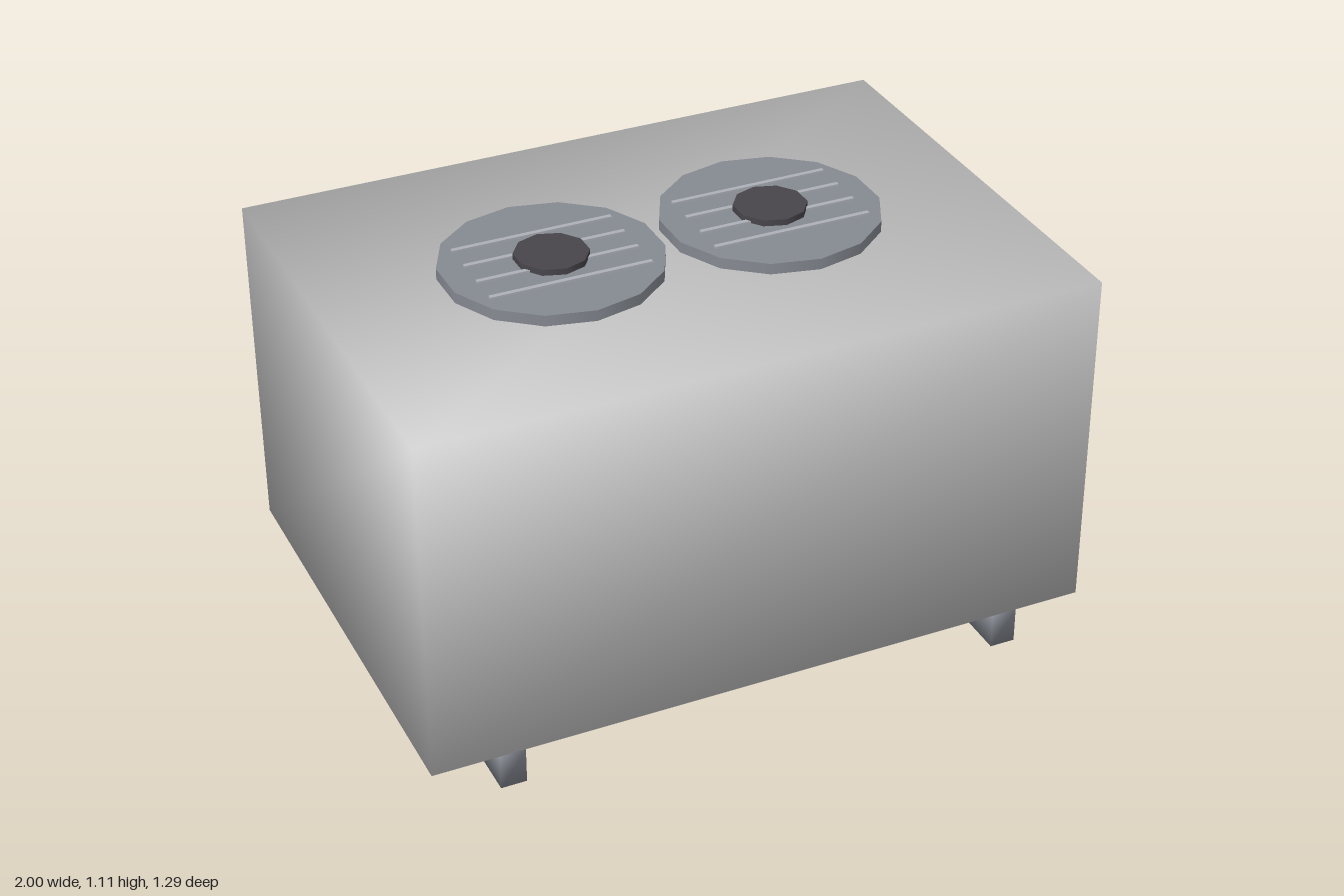
import * as THREE from 'three';
import { mergeVertices } from 'three/addons/utils/BufferGeometryUtils.js';

const paint = (color) => new THREE.MeshStandardMaterial({ color });
const shell = paint(0xcccccc);
const metal = paint(0x868a92);
const light = paint(0xaeb2b8);
const dark = paint(0x48464b);

// Box whose corners share one soft normal
function softBox(w, h, d) {
  const g = new THREE.BoxGeometry(w, h, d);
  g.deleteAttribute('uv');
  g.deleteAttribute('normal');
  const merged = mergeVertices(g);
  merged.computeVertexNormals();
  return merged;
}

function add(parent, name, geometry, material, x, y, z) {
  const mesh = new THREE.Mesh(geometry, material);
  mesh.name = name;
  mesh.position.set(x, y, z);
  parent.add(mesh);
  return mesh;
}

// Round fan cover with four bars and a hub
function makeFan(x) {
  const fan = new THREE.Group();
  fan.name = 'fan';
  fan.position.set(x, 0, 0);
  add(fan, 'fanDisc', new THREE.CylinderGeometry(0.294, 0.294, 0.03, 14), metal, 0, 1.076, 0);
  for (let i = 0; i < 4; i++) {
    add(fan, 'fanBar', new THREE.BoxGeometry(0.44, 0.012, 0.013), light, 0, 1.091, (i - 1.5) * 0.087);
  }
  add(fan, 'fanHub', new THREE.CylinderGeometry(0.098, 0.098, 0.018, 10), dark, 0, 1.099, 0);
  return fan;
}

export function createModel() {
  const model = new THREE.Group();
  model.name = 'coolingUnit';

  // Main housing
  add(model, 'housing', softBox(1.84, 0.955, 1.286), shell, -0.08, 0.578, 0);

  // Support rails running front to back
  for (const x of [-0.785, 0.62]) {
    add(model, 'supportRail', softBox(0.07, 0.098, 1.286), metal, x, 0.049, 0);
  }

  // Pair of fans on top
  for (const x of [-0.387, 0.227]) model.add(makeFan(x));

  // Side vents
  for (let i = 0; i < 4; i++) {
    add(model, 'sideVent', new THREE.BoxGeometry(0.02, 0.018, 0.8), metal, 0.84, 0.27 + i * 0.192, 0);
  }

  // Slanted side handle
  const start = new THREE.Vector3(0.835, 0.492, 0.27);
  const end = new THREE.Vector3(0.987, 0.492, 0.357);
  const span = end.clone().sub(start);
  const mid = start.clone().add(end).multiplyScalar(0.5);
  const handle = add(model, 'handle', new THREE.CylinderGeometry(0.022, 0.022, span.length(), 8),
    light, mid.x, mid.y, mid.z);
  handle.quaternion.setFromUnitVectors(new THREE.Vector3(0, 1, 0), span.normalize());

  return model;
}
